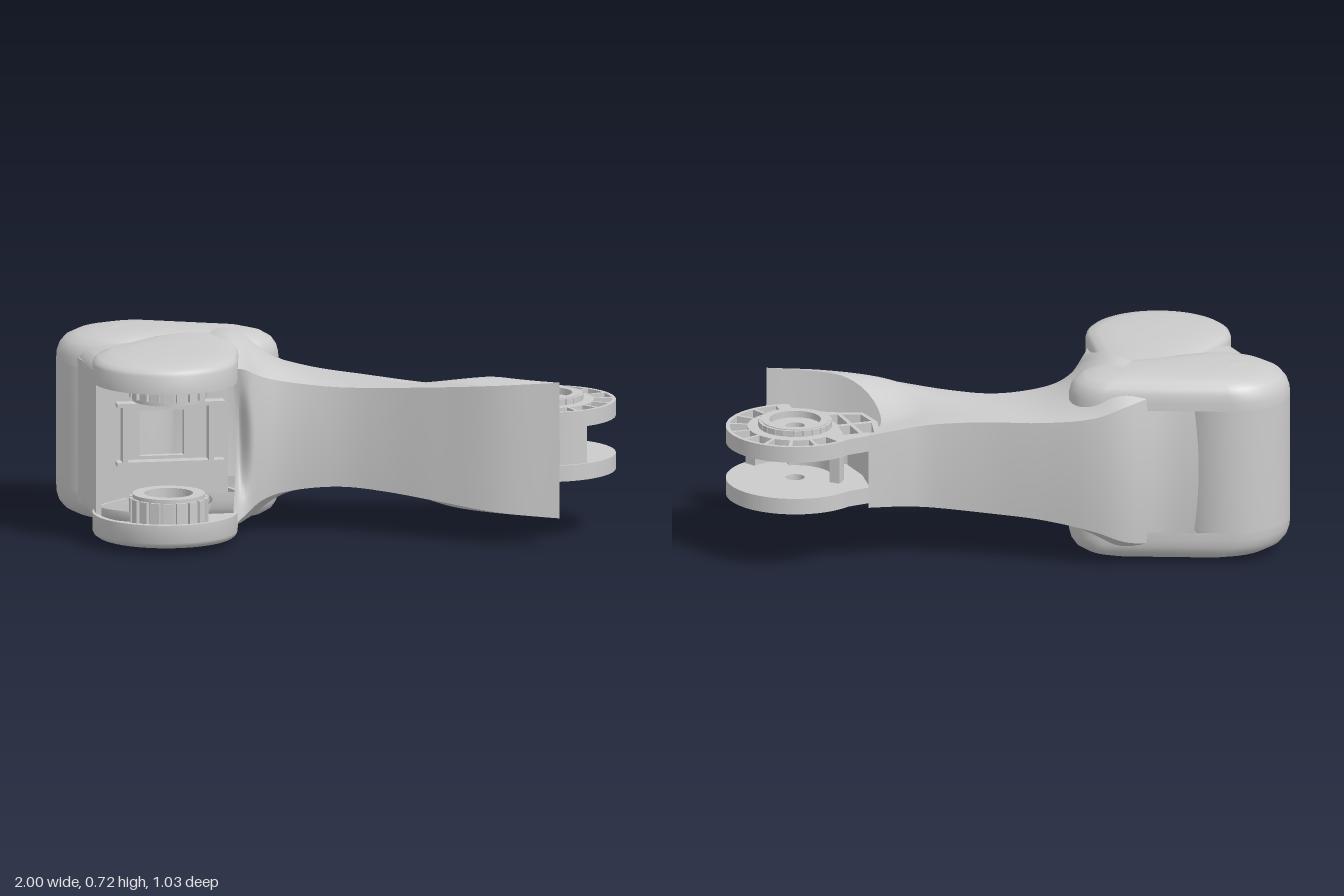
import * as THREE from 'three';
import { toCreasedNormals } from 'three/addons/utils/BufferGeometryUtils.js';

const MID = 0.36; // height of the mirror plane
const { smoothstep, lerp, degToRad } = THREE.MathUtils;
const mat = new THREE.MeshStandardMaterial({ color: 0xcccccc, side: THREE.DoubleSide });

function add(parent, name, geo, x = 0, y = 0, z = 0) {
  const m = new THREE.Mesh(geo, mat);
  m.name = name;
  m.position.set(x, y, z);
  parent.add(m);
  return m;
}

// Surface from a rule fn(u, v) -> [x, y, z]
function grid(nu, nv, fn, flip = false, crease = 0.6) {
  const pos = [], idx = [];
  for (let i = 0; i <= nu; i++)
    for (let j = 0; j <= nv; j++) pos.push(...fn(i / nu, j / nv));
  for (let i = 0; i < nu; i++)
    for (let j = 0; j < nv; j++) {
      const a = i * (nv + 1) + j, b = a + nv + 1;
      if (flip) idx.push(a, a + 1, b, b, a + 1, b + 1);
      else idx.push(a, b, a + 1, b, b + 1, a + 1);
    }
  const g = new THREE.BufferGeometry();
  g.setAttribute('position', new THREE.Float32BufferAttribute(pos, 3));
  g.setIndex(idx);
  return toCreasedNormals(g, crease);
}

// Domed pad over the hull of two circles [x, z, r]; rings are [scale, height]
function pillow(c1, c2, rings, side) {
  const cx = (c1[0] + c2[0]) / 2, cz = (c1[1] + c2[1]) / 2;
  return grid(rings.length - 1, 72, (u, v) => {
    const t = v * Math.PI * 2, nx = Math.cos(t), nz = Math.sin(t);
    const reach = (c) => c[0] * nx + c[1] * nz + c[2];
    const c = reach(c1) > reach(c2) ? c1 : c2;
    const [s, y] = rings[Math.round(u * (rings.length - 1))];
    return [cx + s * (c[0] + c[2] * nx - cx), MID + side * y, cz + s * (c[1] + c[2] * nz - cz)];
  }, side < 0);
}

// Flat plate drawn in x/z, hanging down from y = 0
function plate(shape, depth) {
  const g = new THREE.ExtrudeGeometry(shape, { depth, bevelEnabled: false, curveSegments: 32 });
  return g.rotateX(Math.PI / 2);
}

function arcCell(r0, r1, a0, a1, Type = THREE.Path) {
  const s = new Type();
  s.absarc(0, 0, r1, a0, a1, false);
  s.absarc(0, 0, r0, a1, a0, true);
  s.closePath();
  return s;
}

function ring(r0, r1) {
  const s = new THREE.Shape().absarc(0, 0, r1, 0, Math.PI * 2);
  s.holes.push(new THREE.Path().absarc(0, 0, r0, 0, Math.PI * 2, true));
  return s;
}

function poly(points, Type = THREE.Path) {
  return new Type(points.map(([x, z]) => new THREE.Vector2(x, z)));
}

// Lofted arm between a back edge and a front edge: [x, half height, z]
function armShell() {
  const curve = (pts) => new THREE.CatmullRomCurve3(pts.map((p) => new THREE.Vector3(...p)), false, 'catmullrom', 0.5);
  const back = curve([[-0.7, 0.325, -0.465], [-0.5, 0.3, -0.395], [-0.34, 0.268, -0.41], [-0.22, 0.225, -0.37],
    [-0.05, 0.193, -0.255], [0.12, 0.18, -0.145], [0.3, 0.163, -0.06], [0.42, 0.15, -0.042], [0.54, 0.14, -0.04]]);
  const front = curve([[-0.435, 0.32, 0.33], [-0.38, 0.285, 0.215], [-0.305, 0.235, 0.135], [-0.2, 0.21, 0.108],
    [-0.02, 0.193, 0.14], [0.14, 0.2, 0.215], [0.32, 0.218, 0.33], [0.52, 0.24, 0.45], [0.74, 0.255, 0.51]]);
  return grid(56, 64, (u, v) => {
    const side = Math.floor(v * 4) % 4, t = (v * 4) % 1 * 2 - 1;
    const [p, q] = [[1, t], [-t, 1], [-1, -t], [t, -1]][side];
    const k = 0.25 * (1 - u) + 0.01;
    const s = 0.5 + 0.5 * p * Math.sqrt(1 - k * q * q / 2);
    const h = q * Math.sqrt(1 - k * p * p / 2);
    const b = back.getPoint(u), f = front.getPoint(u), pt = b.clone().lerp(f, s);
    // domed shoulder near the fork, stepped roof near the joint
    const crown = 0.09 * 4 * s * (1 - s) * smoothstep(u, 0, 0.2) * (1 - smoothstep(u, 0.22, 0.48));
    const roof = lerp(pt.y, lerp(b.y, f.y, smoothstep(s, 0.2, 0.75)), smoothstep(u, 0.5, 1)) + crown;
    // the open end is hollowed to clear the round joint
    const cut = 0.2 * 4 * s * (1 - s) * smoothstep(u, 0.55, 1);
    // the throat of the fork is scooped out at mid height
    const scoop = s * s * (1 - h * h) * (1 - smoothstep(u, 0, 0.22));
    return [pt.x - cut + 0.03 * scoop, MID + roof * h, pt.z - 0.2 * scoop];
  });
}

// Joint disc outline with its web, centred on the joint axis
function jointOutline() {
  const s = new THREE.Shape();
  s.absarc(0, 0, 0.255, degToRad(-120), degToRad(104), false);
  for (const [x, z] of [[-0.06, 0.185], [-0.11, 0.14], [-0.2, 0.09], [-0.285, 0.055], [-0.3, -0.06], [-0.26, -0.2]]) s.lineTo(x, z);
  s.closePath();
  s.holes.push(new THREE.Path().absarc(0, 0, 0.035, 0, Math.PI * 2, true));
  return s;
}

function toothedHub(inner, outer, height, teeth) {
  const g = new THREE.Group();
  add(g, 'hubRing', plate(ring(inner, outer * 0.92), height), 0, height / 2, 0);
  for (let i = 0; i < teeth; i++) {
    const a = (i / teeth) * Math.PI * 2;
    const tooth = add(g, 'hubTooth', new THREE.BoxGeometry(outer * 0.12, height * 0.8, outer * 0.24),
      Math.cos(a) * outer * 0.94, 0, Math.sin(a) * outer * 0.94);
    tooth.rotation.y = -a;
  }
  return g;
}

export function createModel() {
  const model = new THREE.Group();
  model.name = 'armLink';
  add(model, 'armShell', armShell());

  // Rounded rear column
  const half = [[0.217, 0.235], [0.21, 0.265], [0.195, 0.295], [0.16, 0.325], [0.1, 0.345], [0, 0.355]];
  const profile = [...half.map(([r, y]) => [r, -y]).reverse(), ...half].map(([r, y]) => new THREE.Vector2(r, y));
  add(model, 'rearColumn', new THREE.LatheGeometry(profile, 48), -0.783, MID, -0.3);

  // Hollow fork lobes, saddles, rear pads and drive hubs, above and below
  const lobeRings = [[0, 0.32], [0.94, 0.315], [0.95, 0.245], [1, 0.245], [1, 0.312], [0.985, 0.324], [0.94, 0.335], [0.8, 0.346], [0.5, 0.353], [0, 0.355]];
  const saddleRings = [[1, 0.24], [1, 0.265], [0.96, 0.285], [0.85, 0.305], [0.6, 0.322], [0.3, 0.33], [0, 0.332]];
  const padRings = [[1, 0.235], [0.995, 0.265], [0.975, 0.292], [0.93, 0.316], [0.84, 0.335], [0.68, 0.348], [0.4, 0.356], [0, 0.358]];
  for (const side of [1, -1]) {
    add(model, 'forkLobe', pillow([-0.677, 0.193, 0.267], [-0.5, -0.13, 0.15], lobeRings, side));
    add(model, 'saddle', pillow([-0.702, 0.0, 0.23], [-0.705, -0.2, 0.24], saddleRings, side));
    add(model, 'rearPad', pillow([-0.783, -0.3, 0.217], [-0.33, -0.2, 0.137], padRings, side));
    const hub = toothedHub(0.09, 0.145, 0.14, 18);
    hub.name = 'driveHub';
    hub.position.set(-0.665, MID + side * 0.245, 0.2);
    model.add(hub);
    add(model, 'hubBase', plate(ring(0.09, 0.2), 0.03), -0.665, MID + side * 0.295 + 0.015, 0.2);
  }

  // Side wall and windowed inner panel of the fork
  const wall = poly([[-0.985, -0.24], [-0.955, -0.24], [-0.925, 0.02], [-0.935, 0.2], [-0.915, 0.2], [-0.9, 0.02], [-0.92, -0.24]], THREE.Shape);
  add(model, 'sideWall', plate(wall, 0.54), 0, MID + 0.27, 0);
  const panel = poly([[-0.92, -0.265], [-0.4, -0.265], [-0.4, 0.265], [-0.92, 0.265]], THREE.Shape);
  panel.holes.push(poly([[-0.73, -0.09], [-0.73, 0.08], [-0.565, 0.08], [-0.565, -0.09]]));
  add(model, 'innerPanel', new THREE.ExtrudeGeometry(panel, { depth: 0.03, bevelEnabled: false }), 0, MID, -0.1);
  for (const x of [-0.79, -0.47])
    add(model, 'panelRib', new THREE.BoxGeometry(0.02, 0.22, 0.06), x, MID, -0.05);
  for (const y of [-0.11, 0.11])
    add(model, 'panelRib', new THREE.BoxGeometry(0.4, 0.015, 0.06), -0.62, MID + y, -0.05);

  // End joint: two ribbed discs joined by a curved bridge
  const joint = new THREE.Group();
  joint.name = 'endJoint';
  joint.position.set(0.742, MID, 0.192);
  model.add(joint);
  const ribbed = jointOutline();
  const start = -1.95, step = 3.6 / 9;
  for (let i = 0; i < 9; i++)
    ribbed.holes.push(arcCell(0.175, 0.24, start + i * step + 0.03, start + (i + 1) * step - 0.03));
  for (let i = 0; i < 18; i++)
    ribbed.holes.push(arcCell(0.105, 0.12, i * Math.PI / 9 + 0.05, (i + 1) * Math.PI / 9 - 0.05));
  for (const cell of [
    [[-0.275, -0.065], [-0.245, -0.175], [-0.205, -0.165], [-0.205, -0.065]],
    [[-0.19, -0.065], [-0.19, -0.165], [-0.13, -0.165], [-0.145, -0.065]],
    [[-0.28, -0.045], [-0.27, 0.04], [-0.205, 0.065], [-0.205, -0.045]],
    [[-0.19, -0.045], [-0.19, 0.07], [-0.14, 0.07], [-0.15, -0.045]]]) ribbed.holes.push(poly(cell));
  for (const side of [1, -1]) {
    add(joint, 'discRibs', plate(ribbed, 0.04), 0, side > 0 ? 0.13 : -0.09, 0);
    add(joint, 'discFloor', plate(jointOutline(), 0.02), 0, side > 0 ? 0.09 : -0.07, 0);
    const rim = toothedHub(0.095, 0.135, 0.03, 24);
    rim.name = 'discHub';
    rim.position.y = side * 0.14;
    joint.add(rim);
  }
  add(joint, 'bridge', plate(arcCell(0.2, 0.245, degToRad(62), degToRad(104), THREE.Shape), 0.14), 0, 0.07, 0);
  add(joint, 'bridge', plate(arcCell(0.14, 0.18, degToRad(100), degToRad(225), THREE.Shape), 0.14), 0, 0.07, 0);
  const web = poly([[-0.285, 0.05], [-0.295, -0.06], [-0.26, -0.19], [-0.22, -0.19], [-0.24, -0.06], [-0.23, 0.07]], THREE.Shape);
  add(joint, 'bridgeWeb', plate(web, 0.14), 0, 0.07, 0);
  return model;
}
